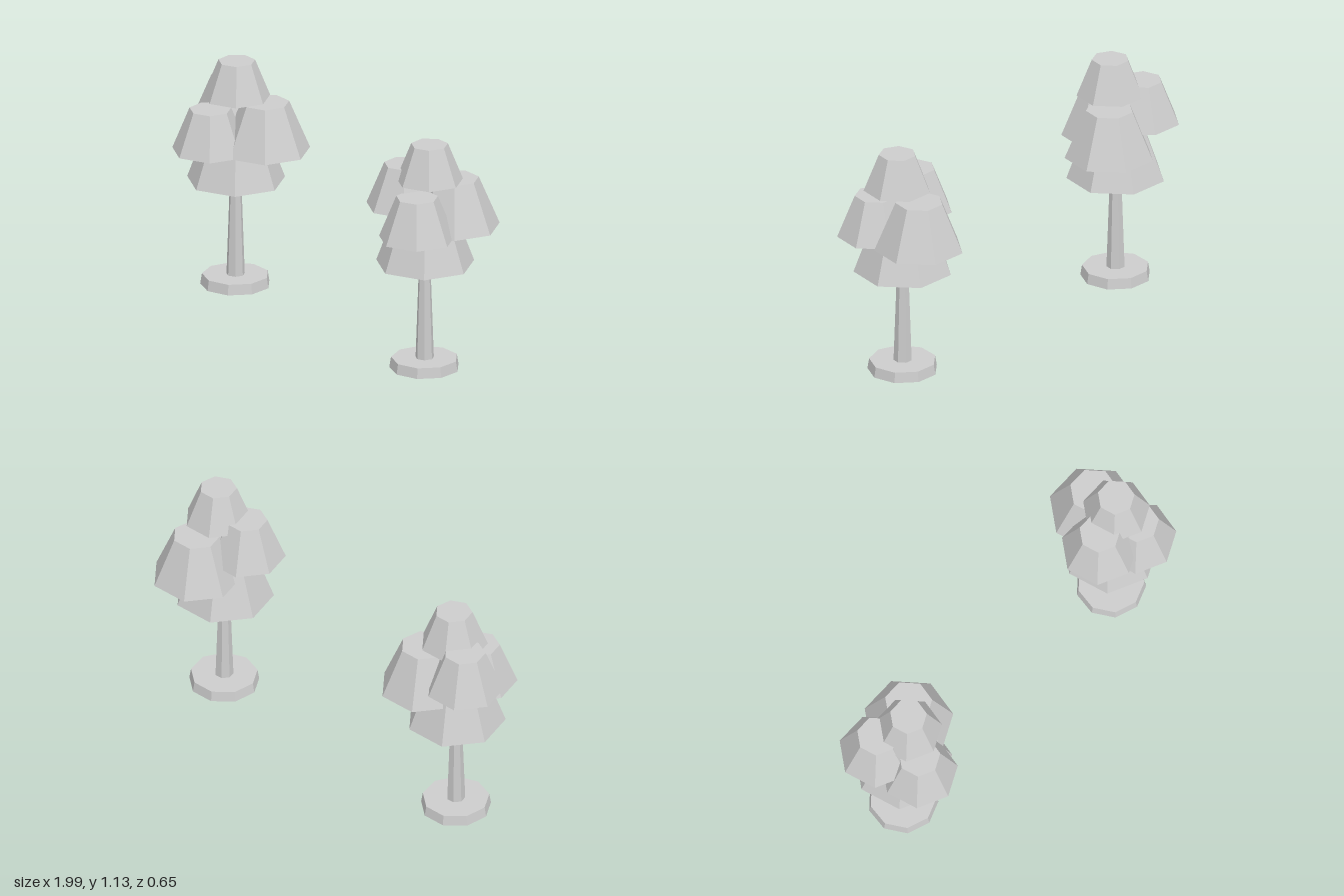
import * as THREE from 'three';

const grey = new THREE.MeshStandardMaterial({ color: 0xcccccc, flatShading: true });
grey.name = 'plain grey';

// Tapered low-poly block standing between two heights
function frustum(name, sides, bottomRadius, topRadius, y0, y1, x, z) {
  const geometry = new THREE.CylinderGeometry(topRadius, bottomRadius, y1 - y0, sides);
  const mesh = new THREE.Mesh(geometry, grey);
  mesh.name = name;
  mesh.position.set(x, (y0 + y1) / 2, z);
  return mesh;
}

// Foliage clumps shared by both trees: name, bottom radius, top radius, bottom y, top y
const clumps = [
  ['lowerFoliage', 0.235, 0.14, 0.527, 0.783],
  ['sideFoliage', 0.184, 0.098, 0.793, 1.0],
  ['backFoliage', 0.213, 0.113, 0.695, 0.932],
  ['frontFoliage', 0.183, 0.1, 0.695, 0.9],
  ['topFoliage', 0.16, 0.088, 0.95, 1.13],
];

function makeTree(name, x, z, clumpPositions) {
  const tree = new THREE.Group();
  tree.name = name;
  tree.add(frustum('groundDisc', 9, 0.166, 0.158, 0.01, 0.06, x, z));
  tree.add(frustum('trunk', 7, 0.046, 0.025, 0, 0.6, x, z));
  clumps.forEach(([part, r0, r1, y0, y1], i) => {
    const [cx, cz] = clumpPositions[i];
    tree.add(frustum(part, 7, r0, r1, y0, y1, cx, cz));
  });
  return tree;
}

export function createModel() {
  const model = new THREE.Group();
  model.name = 'treePair';
  model.add(makeTree('rightTree', -0.71, 0.01,
    [[-0.71, 0.008], [-0.82, -0.052], [-0.584, -0.07], [-0.738, 0.138], [-0.686, 0.022]]));
  model.add(makeTree('leftTree', 0.74, 0.01,
    [[0.74, 0.008], [0.628, 0.042], [0.783, -0.137], [0.815, 0.113], [0.777, 0.01]]));
  return model;
}
